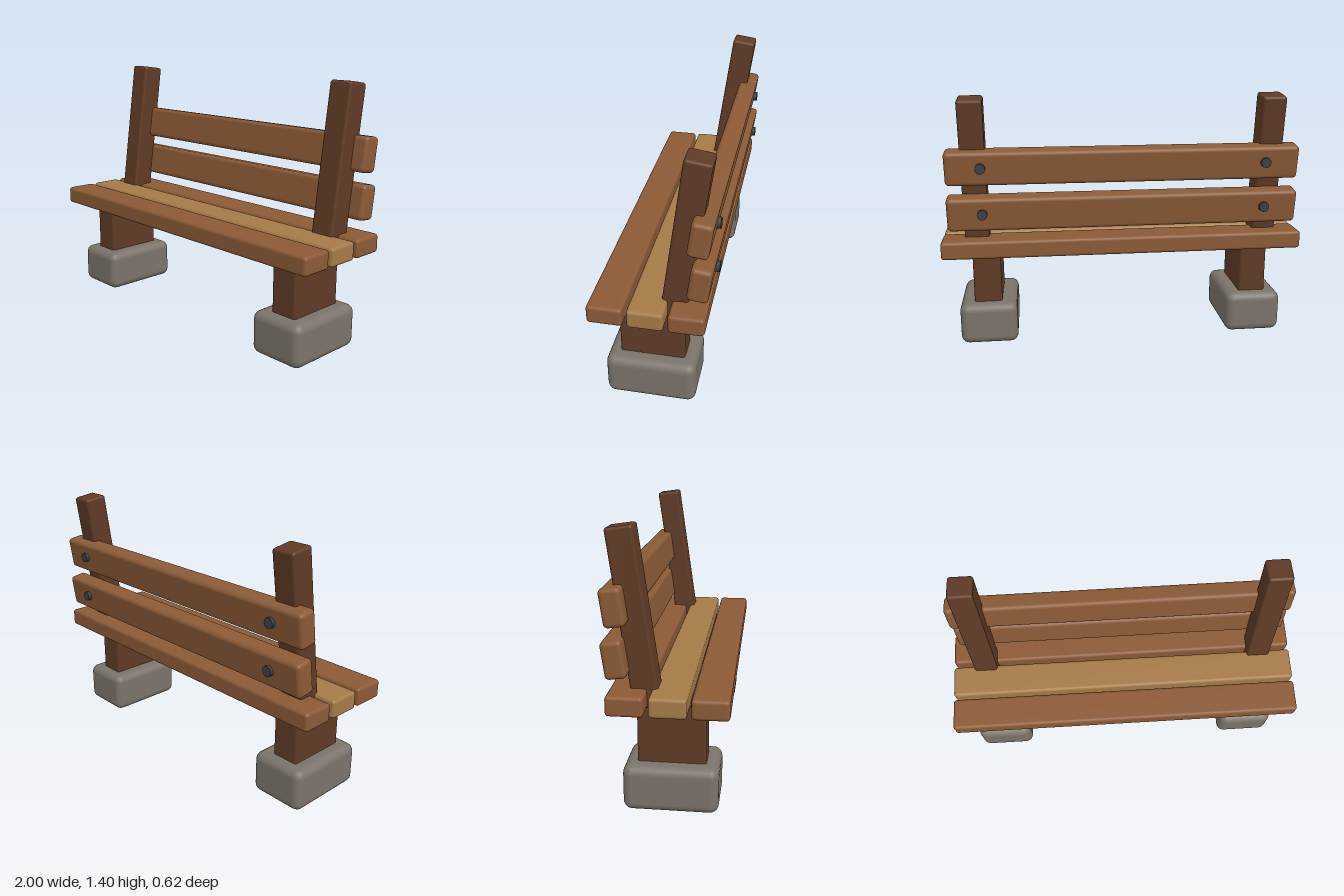
import * as THREE from 'three';
import { RoundedBoxGeometry } from 'three/addons/geometries/RoundedBoxGeometry.js';

const material = (color) => new THREE.MeshStandardMaterial({ color });

export function createModel() {
  const bench = new THREE.Group();
  bench.name = 'bench';

  const plankWood = material(0x8b5a36);
  const paleWood = material(0xa57a47);
  const darkWood = material(0x5f3b26);
  const stone = material(0x7a736a);
  const iron = material(0x3a3f44);
  const lean = -THREE.MathUtils.degToRad(8);

  // Rounded block given by its size and centre
  const block = (name, mat, size, pos, radius, tilt = 0) => {
    const mesh = new THREE.Mesh(new RoundedBoxGeometry(...size, 3, radius), mat);
    mesh.name = name;
    mesh.position.set(...pos);
    mesh.rotation.x = tilt;
    bench.add(mesh);
  };

  // Seat planks
  block('frontSeatPlank', plankWood, [2, 0.1, 0.18], [0, 0.575, 0.22], 0.018);
  block('middleSeatPlank', paleWood, [2, 0.1, 0.18], [0, 0.575, 0.02], 0.018);
  block('rearSeatPlank', plankWood, [2, 0.1, 0.18], [0, 0.575, -0.183], 0.018);

  // Backrest planks, fixed behind the posts
  const backHeights = { lower: 0.782, upper: 1.03 };
  for (const [level, y] of Object.entries(backHeights)) {
    block(level + 'BackPlank', plankWood, [1.91, 0.185, 0.105], [0, y, -0.237], 0.022, lean);
  }

  // Stone foot, leg, leaning post and bolts on each side
  const boltGeometry = new THREE.CylinderGeometry(0.028, 0.028, 0.05, 12).rotateX(Math.PI / 2);
  for (const [side, s] of [['left', 1], ['right', -1]]) {
    block(side + 'Foot', stone, [0.32, 0.235, 0.47], [s * 0.765, 0.1175, 0.02], 0.045);
    block(side + 'Leg', darkWood, [0.155, 0.36, 0.34], [s * 0.767, 0.367, 0.02], 0.015);
    block(side + 'Post', darkWood, [0.133, 0.875, 0.133], [s * 0.81, 0.957, -0.154], 0.015, lean);
    for (const [level, y] of Object.entries(backHeights)) {
      const bolt = new THREE.Mesh(boltGeometry, iron);
      bolt.name = `${side}${level === 'upper' ? 'Upper' : 'Lower'}Bolt`;
      bolt.position.set(s * 0.767, y, -0.285);
      bench.add(bolt);
    }
  }

  return bench;
}
